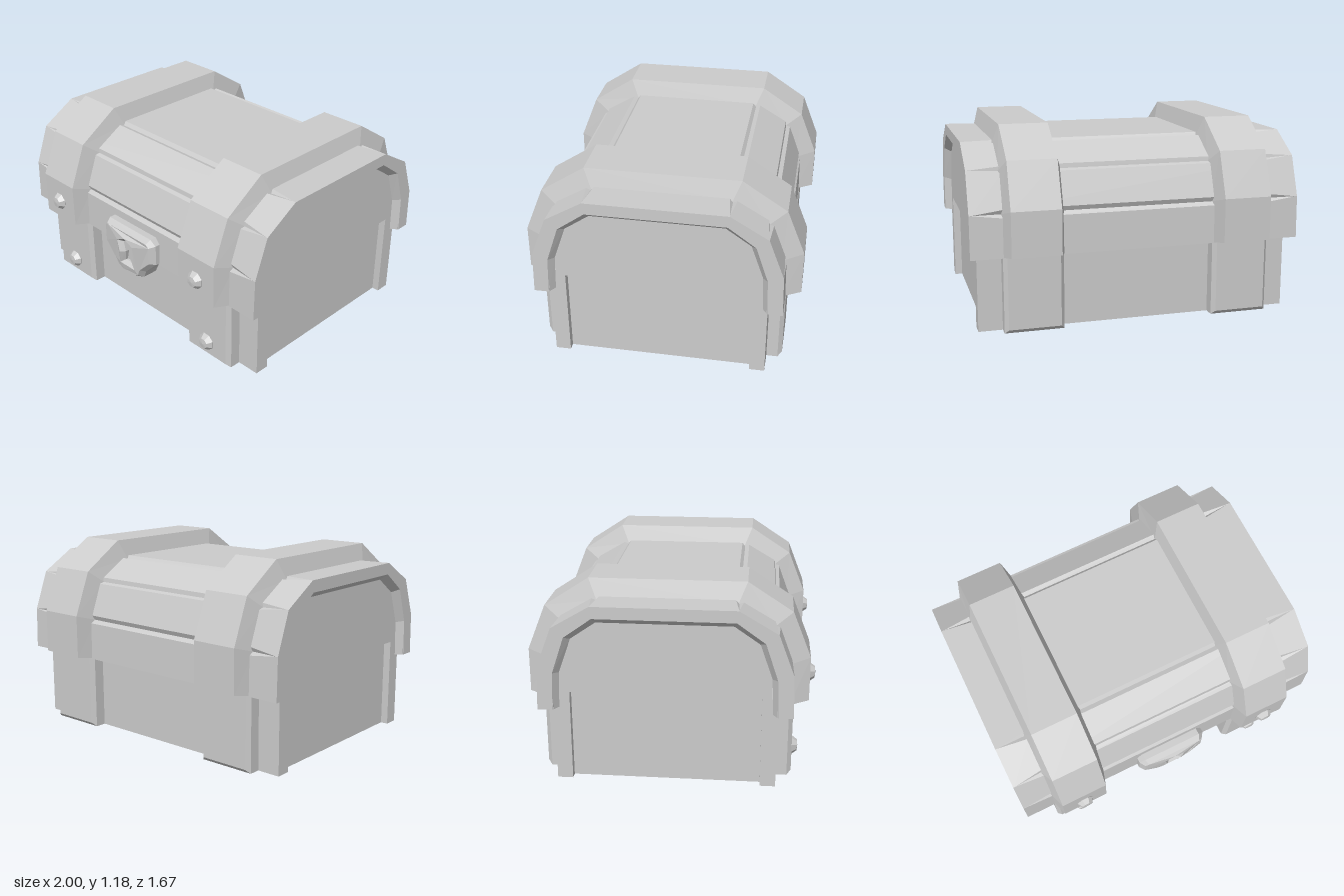
import * as THREE from 'three';

const material = new THREE.MeshStandardMaterial({ color: 0xcccccc, flatShading: true, side: THREE.DoubleSide });

// Half profiles [half depth, height], from the lower edge up to the flat top
const LID = [[0.727, 0.455], [0.72, 0.71], [0.63, 0.95], [0.41, 1.08]];
const RIM = [[0.64, 0.455], [0.632, 0.68], [0.56, 0.895], [0.4, 1.01]];
const RECESS = [[0.61, 0.455], [0.602, 0.67], [0.53, 0.875], [0.385, 0.975]];
const BAND = [[0.817, 0.475], [0.817, 0.74], [0.71, 1.01], [0.45, 1.18]];
const BAND_BASE = [[0.705, 0.455], [0.695, 0.705], [0.61, 0.935], [0.4, 1.06]];

// Full arch from front to back
function arch(half) {
  return [...half, ...half.slice().reverse().map(([z, y]) => [-z, y])].map(([z, y]) => new THREE.Vector2(z, y));
}

// Replace each bend of the arch by three points forming a V groove of the given width and depth
function grooved(half, width, depth) {
  const p = arch(half);
  const out = [p[0]];
  for (let i = 1; i < p.length - 1; i++) {
    const toPrev = p[i - 1].clone().sub(p[i]).normalize();
    const toNext = p[i + 1].clone().sub(p[i]).normalize();
    const inward = toPrev.clone().add(toNext).normalize();
    out.push(
      p[i].clone().addScaledVector(toPrev, width),
      p[i].clone().addScaledVector(inward, depth),
      p[i].clone().addScaledVector(toNext, width));
  }
  out.push(p[p.length - 1]);
  return out;
}

// Skin a list of { x, points } sections, optionally closing the two lower ends
function loft(sections, closeEnds) {
  const pos = [];
  const rings = sections.map(({ x, points }) => points.map((p) => new THREE.Vector3(x, p.y, p.x)));
  const tri = (a, b, c) => {
    const area = b.clone().sub(a).cross(c.clone().sub(a)).length();
    if (area > 1e-7) for (const v of [a, b, c]) pos.push(v.x, v.y, v.z);
  };
  const quad = (a, b, c, d) => { tri(a, b, c); tri(a, c, d); };
  for (let i = 0; i < rings.length - 1; i++) {
    for (let j = 0; j < rings[i].length - 1; j++) {
      quad(rings[i][j], rings[i + 1][j], rings[i + 1][j + 1], rings[i][j + 1]);
    }
  }
  if (closeEnds) {
    const f = rings.map((r) => r[0]);
    const b = rings.map((r) => r[r.length - 1]);
    quad(f[0], f[3], f[2], f[1]);
    quad(b[0], b[1], b[2], b[3]);
  }
  const g = new THREE.BufferGeometry();
  g.setAttribute('position', new THREE.Float32BufferAttribute(pos, 3));
  g.computeVertexNormals();
  return g;
}

function shapeOf(points) {
  return new THREE.Shape(points.map(([x, y]) => new THREE.Vector2(x, y)));
}

function extrude(shape, depth) {
  return new THREE.ExtrudeGeometry(shape, { depth, bevelEnabled: false });
}

// U-shaped strap section passing under the box, with an optional bottom chamfer
function strapSection(x, z, chamfer) {
  const down = [[z, 0.458], [z, chamfer], [z - chamfer, 0]];
  const points = [...down.map(([a, y]) => [-a, y]), ...down.slice().reverse()];
  return { x, points: points.map(([a, y]) => new THREE.Vector2(a, y)) };
}

export function createModel() {
  const chest = new THREE.Group();
  chest.name = 'treasureChest';
  const body = new THREE.Group();
  body.name = 'chest';
  body.position.z = -0.02;
  chest.add(body);
  const add = (name, geometry, x = 0, y = 0, z = 0) => {
    const mesh = new THREE.Mesh(geometry, material);
    mesh.name = name;
    mesh.position.set(x, y, z);
    body.add(mesh);
    return mesh;
  };

  // Lower box: plan outline with corner posts and recessed end panels
  const q = [[0.955, 0.638], [0.955, 0.548], [0.91, 0.548]];
  const rev = q.slice().reverse();
  const plan = [
    ...q, ...rev.map(([x, z]) => [x, -z]),
    ...q.map(([x, z]) => [-x, -z]), ...rev.map(([x, z]) => [-x, z])];
  add('lowerBox', extrude(shapeOf(plan), 0.55).rotateX(-Math.PI / 2));

  // Lid shell: grooves between planks taper to nothing near the ends, rims turn inward
  const plain = grooved(LID, 0, 0);
  const cut = grooved(LID, 0.025, 0.022);
  const rim = grooved(RIM, 0, 0);
  const recess = grooved(RECESS, 0, 0);
  const right = [[0.8, cut], [0.99, plain], [1, plain], [1, rim], [0.955, recess]];
  const sections = [
    ...right.slice().reverse().map(([x, points]) => ({ x: -x, points })),
    ...right.map(([x, points]) => ({ x, points }))];
  add('lid', loft(sections));

  // Lid underside strips and end panels
  for (const s of [1, -1]) {
    add('lidSill', new THREE.BoxGeometry(1.995, 0.04, 0.09), 0, 0.476, s * 0.68);
    const panel = arch(RECESS);
    panel[0].set(0.606, 0.55);
    panel[panel.length - 1].set(-0.606, 0.55);
    const g = extrude(new THREE.Shape(panel), 0.08).rotateY(Math.PI / 2);
    add('lidEndPanel', g, s > 0 ? 0.875 : -0.955);
  }

  // Straps and rivets
  const rivetProfile = [[0.042, -0.02], [0.057, 0.005], [0.034, 0.036], [0, 0.04]].map(([r, h]) => new THREE.Vector2(r, h));
  const rivet = new THREE.LatheGeometry(rivetProfile, 8, Math.PI / 8).rotateX(Math.PI / 2);
  for (const s of [1, -1]) {
    const x = s * 0.635;
    add('lidStrap', loft([
      { x: -0.182, points: arch(BAND_BASE) },
      { x: -0.145, points: arch(BAND) },
      { x: 0.145, points: arch(BAND) },
      { x: 0.182, points: arch(BAND_BASE) }], true), x);
    add('lowerStrap', loft([
      strapSection(-0.177, 0.6, 0),
      strapSection(-0.177, 0.705, 0),
      strapSection(-0.155, 0.73, 0.025),
      strapSection(0.155, 0.73, 0.025),
      strapSection(0.177, 0.705, 0),
      strapSection(0.177, 0.6, 0)]), x);
    add('upperRivet', rivet, x, 0.595, 0.815);
    add('lowerRivet', rivet, x, 0.112, 0.73);
  }

  // Lock plate with a keyhole, its front gently domed and sloping back at the bottom
  const edge = [[0.19, 0.637], [0.225, 0.6], [0.225, 0.47], [0.135, 0.383], [0.107, 0.328], [0.055, 0.308]];
  const plate = shapeOf([...edge, ...edge.slice().reverse().map(([x, y]) => [-x, y])]);
  plate.holes.push(shapeOf([
    [0, 0.555], [-0.04, 0.535], [-0.022, 0.47], [-0.038, 0.4],
    [0.038, 0.4], [0.022, 0.47], [0.04, 0.535]]));
  const lock = new THREE.ExtrudeGeometry(plate, {
    depth: 0.125, bevelSize: 0.025, bevelOffset: -0.025, bevelThickness: 0.03, bevelSegments: 1,
  });
  const p = lock.attributes.position;
  for (let i = 0; i < p.count; i++) {
    if (p.getZ(i) > 0.1) p.setZ(i, p.getZ(i) - 0.6 * p.getX(i) ** 2 - 0.2 * Math.max(0, 0.45 - p.getY(i)));
  }
  lock.computeVertexNormals();
  add('lockPlate', lock, 0, 0, 0.66);
  add('keyholeFloor', new THREE.BoxGeometry(0.12, 0.2, 0.12), 0, 0.475, 0.7);

  return chest;
}
